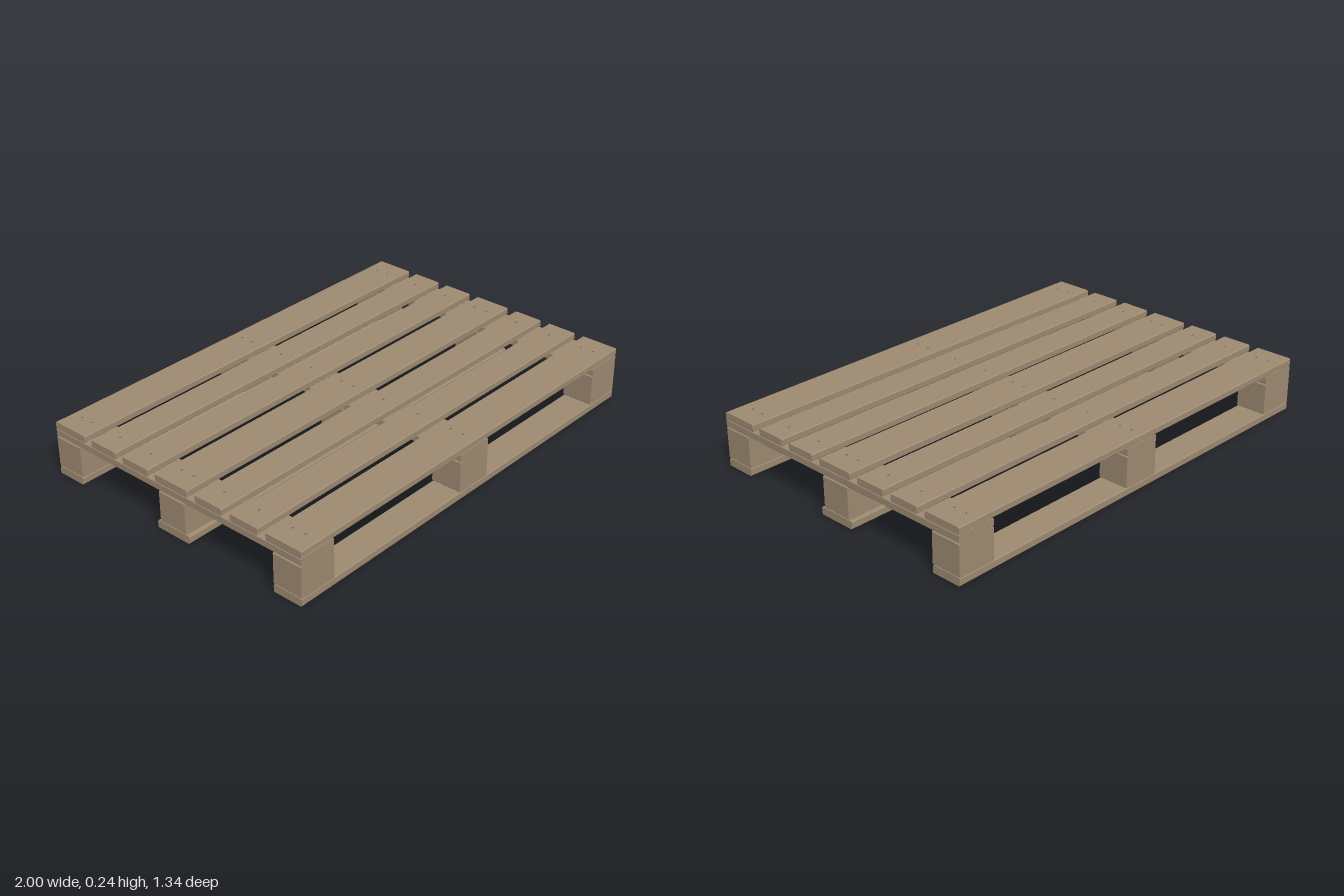
import * as THREE from 'three';

const wood = new THREE.MeshStandardMaterial({ color: 0x9e8a72 });
wood.name = 'weathered wood';
const steel = new THREE.MeshStandardMaterial({ color: 0x6b6b6b });
steel.name = 'nail steel';

// Plank with eased long edges, cross-section w by h, running along z
function plankGeometry(w, h, length) {
  const c = 0.004, x = w / 2, y = h / 2;
  const shape = new THREE.Shape([
    [-x + c, -y], [x - c, -y], [x, -y + c], [x, y - c],
    [x - c, y], [-x + c, y], [-x, y - c], [-x, -y + c],
  ].map(([a, b]) => new THREE.Vector2(a, b)));
  return new THREE.ExtrudeGeometry(shape, { depth: length, bevelEnabled: false })
    .translate(0, 0, -length / 2);
}

export function createModel() {
  const pallet = new THREE.Group();
  pallet.name = 'pallet';

  const add = (name, geometry, material, x, y, z) => {
    const mesh = new THREE.Mesh(geometry, material);
    mesh.name = name;
    mesh.position.set(x, y, z);
    pallet.add(mesh);
  };

  const columns = [-0.913, 0, 0.913];

  // Seven deck boards along x: wide at the edges and centre, narrow between
  const wide = plankGeometry(0.174, 0.031, 2).rotateY(Math.PI / 2);
  const narrow = plankGeometry(0.139, 0.031, 2).rotateY(Math.PI / 2);
  for (const z of [-0.581, 0, 0.581]) add('deckBoard', wide, wood, 0, 0.2275, z);
  for (const z of [-0.383, -0.2, 0.2, 0.383]) add('deckBoard', narrow, wood, 0, 0.2275, z);

  // Three cross boards beneath the deck, each on three blocks
  const cross = plankGeometry(0.174, 0.035, 1.336);
  const block = plankGeometry(0.174, 0.141, 0.139);
  for (const x of columns) {
    add('crossBoard', cross, wood, x, 0.1945, 0);
    for (const z of [-0.5985, 0, 0.5985]) add('block', block, wood, x, 0.1055, z);
  }

  // Bottom runners along x
  const centreRunner = plankGeometry(0.174, 0.034, 2).rotateY(Math.PI / 2);
  const sideRunner = plankGeometry(0.139, 0.034, 2).rotateY(Math.PI / 2);
  add('bottomRunner', centreRunner, wood, 0, 0.018, 0);
  for (const z of [-0.5985, 0.5985]) add('bottomRunner', sideRunner, wood, 0, 0.018, z);

  // Nail heads: pairs in wide boards, singles in narrow ones
  const nail = new THREE.CylinderGeometry(0.005, 0.005, 0.002, 8);
  const topRows = [-0.613, -0.554, -0.383, -0.204, -0.033, 0.033, 0.197, 0.377, 0.546, 0.608];
  const bottomRows = [-0.628, -0.569, -0.033, 0.033, 0.569, 0.628];
  for (const x of [-0.91, 0, 0.91]) {
    for (const z of topRows) add('deckNail', nail, steel, x, 0.243, z);
    for (const z of bottomRows) add('runnerNail', nail, steel, x, 0.001, z);
  }

  return pallet;
}
